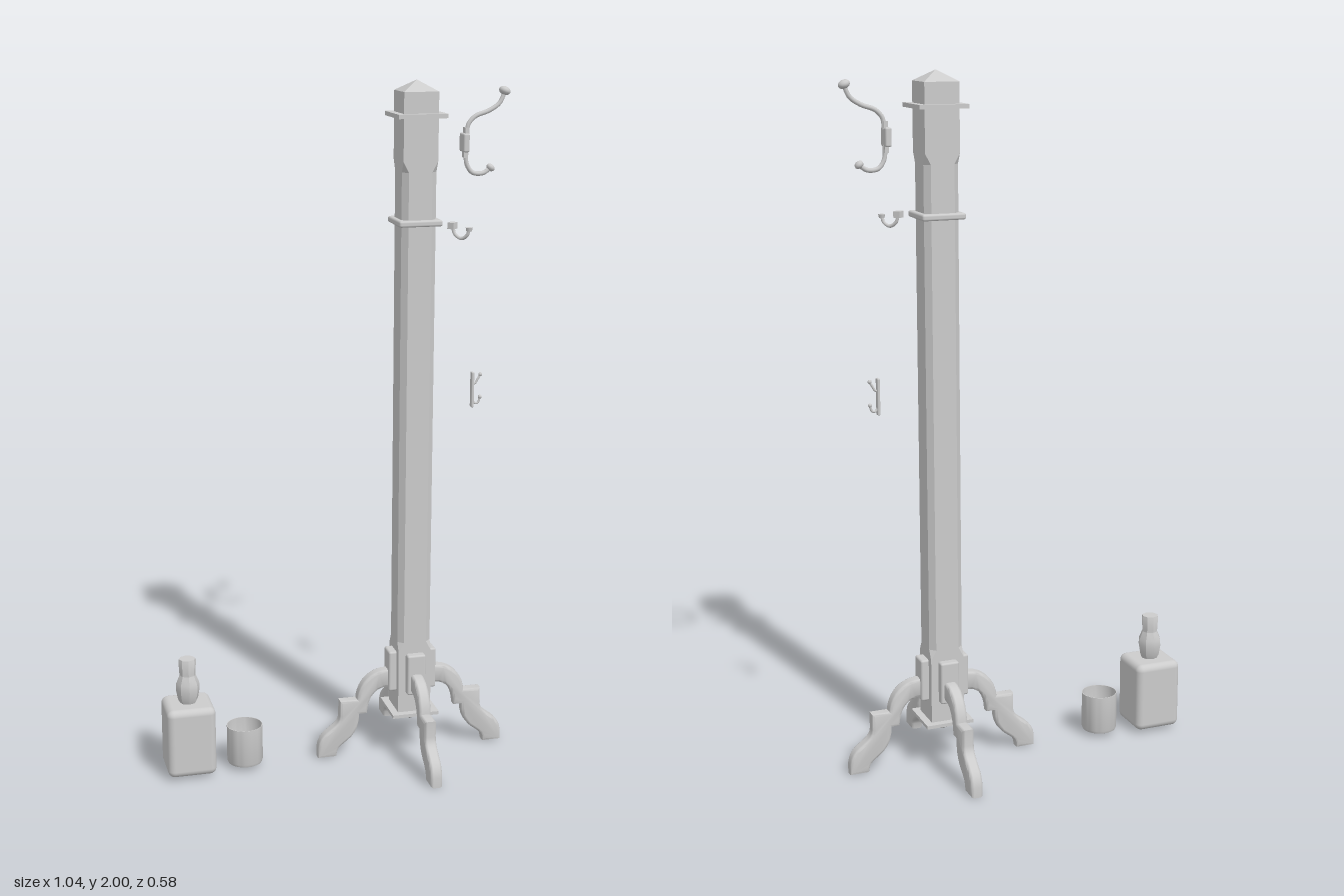
import * as THREE from 'three';
import { RoundedBoxGeometry } from 'three/addons/geometries/RoundedBoxGeometry.js';
import { toCreasedNormals } from 'three/addons/utils/BufferGeometryUtils.js';

const material = new THREE.MeshStandardMaterial({ color: 0xcccccc });
const openMaterial = new THREE.MeshStandardMaterial({ color: 0xcccccc, side: THREE.DoubleSide });

function add(parent, name, geometry, x = 0, y = 0, z = 0, mat = material) {
  const mesh = new THREE.Mesh(geometry, mat);
  mesh.name = name;
  mesh.position.set(x, y, z);
  parent.add(mesh);
  return mesh;
}

function group(parent, name, x = 0, y = 0, z = 0) {
  const g = new THREE.Group();
  g.name = name;
  g.position.set(x, y, z);
  parent.add(g);
  return g;
}

const box = (w, h, d) => new THREE.BoxGeometry(w, h, d);
const creasedLathe = (pts, sides, angle = 0.7) =>
  toCreasedNormals(new THREE.LatheGeometry(pts.map(p => new THREE.Vector2(...p)), sides), angle);

// Square column with chamfered corners: each section is [y, half width, chamfer]
function chamferedColumn(sections) {
  const rings = sections.map(([y, h, c]) => {
    const k = h - c;
    return [[h, k], [h, -k], [k, -h], [-k, -h], [-h, -k], [-h, k], [-k, h], [k, h]]
      .map(([x, z]) => [x, y, z]);
  });
  const pos = [];
  for (let r = 0; r < rings.length - 1; r++) {
    for (let i = 0; i < 8; i++) {
      const j = (i + 1) % 8;
      const a = rings[r][i], b = rings[r][j], c = rings[r + 1][j], d = rings[r + 1][i];
      pos.push(...a, ...b, ...c, ...a, ...c, ...d);
    }
  }
  const g = new THREE.BufferGeometry();
  g.setAttribute('position', new THREE.Float32BufferAttribute(pos, 3));
  g.computeVertexNormals();
  return g;
}

// Bent rod running outward along +x through [x, y] points
function rod(points, radius) {
  const curve = new THREE.CatmullRomCurve3(points.map(([x, y]) => new THREE.Vector3(x, y, 0)));
  return new THREE.TubeGeometry(curve, 24, radius, 8, false);
}

// Side silhouette of a leg: arch, stepped knee, then a sweeping foot
function legGeometry() {
  const bevel = 0.008;
  const s = new THREE.Shape();
  s.moveTo(0.04, 0.258);
  s.lineTo(0.075, 0.258);
  s.bezierCurveTo(0.12, 0.258, 0.158, 0.225, 0.16, 0.17);
  s.lineTo(0.212, 0.17);
  s.lineTo(0.212, 0.128);
  s.bezierCurveTo(0.215, 0.08, 0.275, 0.085, 0.28, 0.03);
  s.lineTo(0.28, 0.008);
  s.lineTo(0.238, 0.008);
  s.bezierCurveTo(0.236, 0.06, 0.165, 0.04, 0.168, 0.138);
  s.lineTo(0.143, 0.138);
  s.bezierCurveTo(0.14, 0.185, 0.115, 0.218, 0.075, 0.218);
  s.lineTo(0.04, 0.218);
  const g = new THREE.ExtrudeGeometry(s, {
    depth: 0.02, bevelEnabled: true, bevelSize: bevel, bevelThickness: bevel,
    bevelSegments: 2, curveSegments: 10,
  });
  g.translate(0, 0, -0.01);
  return toCreasedNormals(g, 0.8);
}

function buildStand(model) {
  const stand = group(model, 'stand', 0.228, 0, 0);
  add(stand, 'post', chamferedColumn([
    [0.095, 0.001, 0], [0.13, 0.05, 0], [0.33, 0.05, 0], [0.36, 0.05, 0.016],
    [1.75, 0.05, 0.016], [1.78, 0.05, 0], [1.97, 0.05, 0], [2, 0.0005, 0],
  ]));
  add(stand, 'topPlate', box(0.142, 0.012, 0.142), 0, 1.905, 0);
  add(stand, 'collar', new RoundedBoxGeometry(0.126, 0.018, 0.126, 2, 0.006), 0, 1.609, 0);
  add(stand, 'bottomPlate', box(0.142, 0.01, 0.142), 0, 0.135, 0);

  // Four legs, each with its bracket on one face of the post
  const leg = legGeometry();
  for (let i = 0; i < 4; i++) {
    const side = group(stand, 'legAssembly');
    side.rotation.y = i * Math.PI / 2;
    add(side, 'leg', leg);
    add(side, 'legBracket', new RoundedBoxGeometry(0.03, 0.125, 0.056, 2, 0.006), 0.058, 0.263, 0);
  }
}

// Large double coat hook
function buildCoatHook(model) {
  const hook = group(model, 'coatHook', 0.37, 0, 0);
  add(hook, 'hookPlate', new RoundedBoxGeometry(0.018, 0.052, 0.044, 2, 0.005), 0, 1.825, 0);
  add(hook, 'hookPlateTop', box(0.012, 0.02, 0.02), 0.004, 1.857, 0);
  add(hook, 'hookPlateBottom', box(0.012, 0.02, 0.02), 0.002, 1.793, 0);
  add(hook, 'upperArm', rod([[0.006, 1.845], [0.01, 1.875], [0.03, 1.897], [0.07, 1.912],
    [0.1, 1.932], [0.115, 1.962]], 0.0065));
  add(hook, 'lowerArm', rod([[0.004, 1.805], [0.007, 1.765], [0.024, 1.741], [0.055, 1.738],
    [0.078, 1.752]], 0.0065));
  const upperTip = add(hook, 'upperTip', new THREE.SphereGeometry(0.017, 12, 8), 0.115, 1.966, 0);
  upperTip.scale.y = 0.7;
  upperTip.rotation.z = -0.4;
  const lowerTip = add(hook, 'lowerTip', new THREE.SphereGeometry(0.013, 12, 8), 0.078, 1.753, 0);
  lowerTip.scale.y = 0.75;
  lowerTip.rotation.z = -0.7;
}

// Single hook at the front corner of the collar
function buildCornerHook(model) {
  const hook = group(model, 'cornerHook', 0.312, 0, 0.082);
  hook.rotation.y = -Math.PI / 4;
  add(hook, 'hookBase', box(0.02, 0.018, 0.024), 0, 1.605, 0);
  add(hook, 'hookArm', rod([[0, 1.605], [0.008, 1.582], [0.027, 1.571], [0.045, 1.58],
    [0.052, 1.597]], 0.005));
  add(hook, 'hookTip', new THREE.CylinderGeometry(0.01, 0.008, 0.01, 10), 0.052, 1.598, 0);
}

// Slim double hook
function buildSmallHook(model) {
  const hook = group(model, 'smallHook', 0.406, 0, 0.003);
  add(hook, 'smallHookPlate', new RoundedBoxGeometry(0.008, 0.105, 0.018, 2, 0.003), 0, 1.112, 0);
  add(hook, 'smallUpperArm', rod([[0, 1.128], [0.009, 1.131], [0.016, 1.142], [0.024, 1.155]], 0.0035));
  add(hook, 'smallLowerArm', rod([[0, 1.084], [0.008, 1.071], [0.018, 1.072], [0.024, 1.087]], 0.0035));
  for (const y of [1.156, 1.089]) {
    add(hook, 'smallHookTip', new THREE.SphereGeometry(0.006, 8, 6), 0.024, y, 0);
  }
}

function buildBottle(model) {
  const bottle = group(model, 'bottle', -0.448, 0.01, -0.002);
  add(bottle, 'bottleBody', new RoundedBoxGeometry(0.143, 0.21, 0.142, 4, 0.02), 0, 0.105, 0);
  const neck = creasedLathe([[0.022, 0.205], [0.03, 0.222], [0.035, 0.25], [0.034, 0.27],
    [0.025, 0.292], [0.022, 0.302]], 8);
  add(bottle, 'bottleNeck', neck);
  const cap = creasedLathe([[0, 0.294], [0.024, 0.294], [0.024, 0.302], [0.026, 0.34],
    [0.024, 0.345], [0, 0.345]], 8);
  add(bottle, 'bottleCap', cap);
}

// Open tumbler with a rounded base
function buildCup(model) {
  const profile = [[0, 0], [0.042, 0], [0.05, 0.004], [0.053, 0.012], [0.053, 0.12],
    [0.051, 0.12], [0.05, 0.02], [0.04, 0.008], [0, 0.006]];
  add(model, 'cup', creasedLathe(profile, 32), -0.281, 0.01, 0, openMaterial);
}

export function createModel() {
  const model = new THREE.Group();
  model.name = 'coatStandSet';
  buildStand(model);
  buildCoatHook(model);
  buildCornerHook(model);
  buildSmallHook(model);
  buildBottle(model);
  buildCup(model);
  return model;
}
